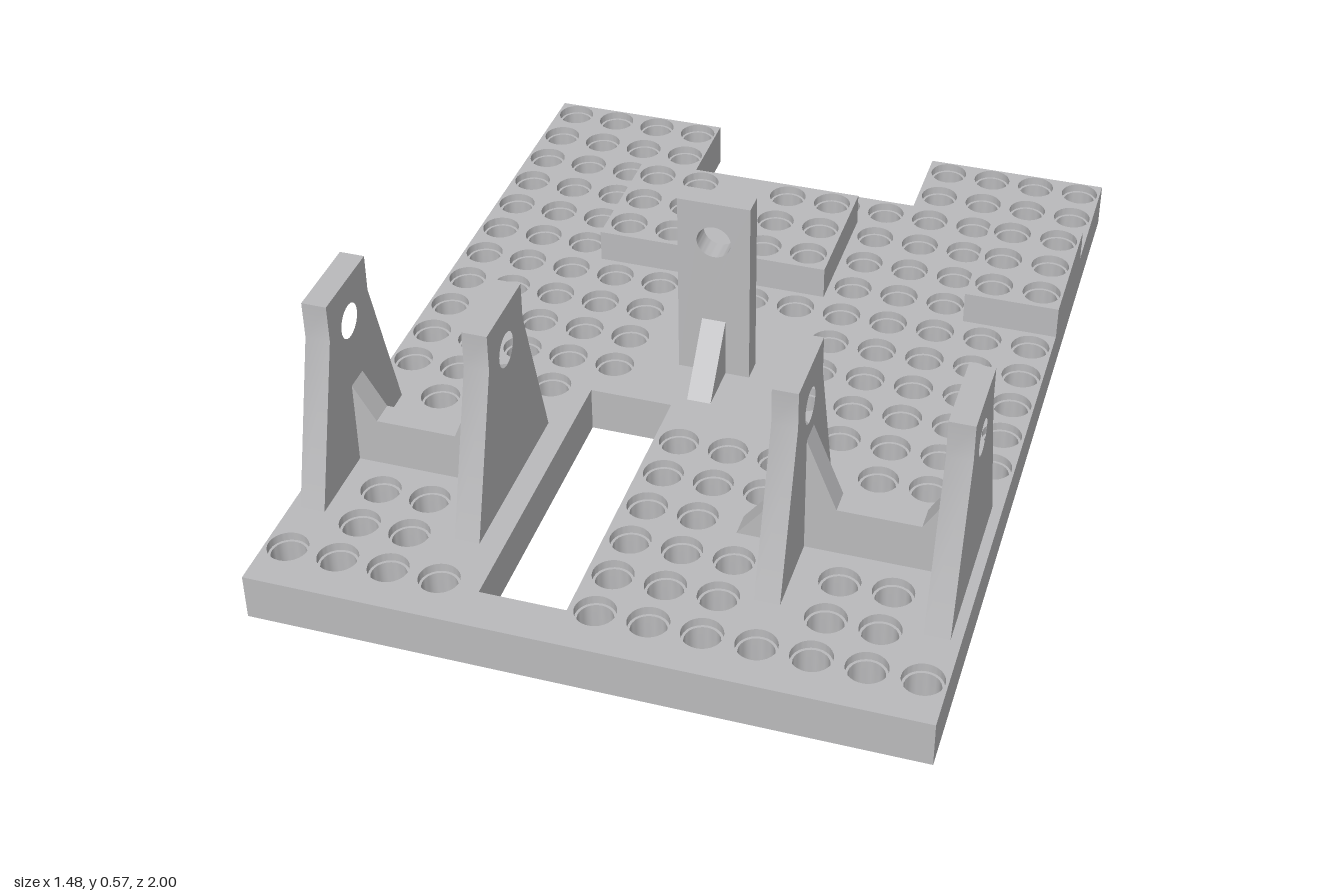
import * as THREE from 'three';
import { mergeGeometries, toCreasedNormals } from 'three/addons/utils/BufferGeometryUtils.js';

const PLATE = 0.11, PAD = 0.19, TOP = 0.575;
const PITCH = 0.1148, R_OUT = 0.045, R_IN = 0.039, STEP = 0.02, SEG = 24;

const shapeOf = (pts) => new THREE.Shape(pts.map(([x, y]) => new THREE.Vector2(x, y)));
const circle = (x, y, r) => new THREE.Path().absarc(x, y, r, 0, Math.PI * 2, true);
const rect = (x0, x1, z0, z1) => [[x0, -z1], [x1, -z1], [x1, -z0], [x0, -z0]];

function extrude(shape, depth) {
  const g = new THREE.ExtrudeGeometry(shape, { depth, bevelEnabled: false, curveSegments: SEG });
  return toCreasedNormals(g, 0.6);
}
// Outline in x and -z, extruded upward from y0
const slab = (shape, h, y0) => extrude(shape, h).rotateX(-Math.PI / 2).translate(0, y0, 0);
// Outline in x and y, extruded from z0 to z1
const frontPlate = (shape, z0, z1) => extrude(shape, z1 - z0).translate(0, 0, z0);
// Outline in z and y, thickness centred on x
const sidePlate = (shape, x, t) => extrude(shape, t).translate(0, 0, -t / 2).rotateY(-Math.PI / 2).translate(x, 0, 0);

// Hole grid: columns present in each row, from back to front
const span = (a, b) => Array.from({ length: b - a + 1 }, (_, i) => a + i);
const full = span(-6, 6);
const ends = [...span(-6, -3), ...span(3, 6)];
const padRow = full.filter((c) => c !== -1);
const middle = [...span(-6, -2), ...span(2, 6)];
const between = [-5, -4, 0, 1, 2, 4, 5];
const ROWS = [
  ends, ends, full, padRow, padRow, padRow, full, middle, middle, middle,
  [...span(-6, -3), ...span(2, 6)], between, between, [0, 1], between, between,
  [...span(-6, -3), ...span(0, 6)],
];

export function createModel() {
  const model = new THREE.Group();
  const grey = new THREE.MeshStandardMaterial({ color: 0xbababc });
  grey.name = 'grey';
  const add = (name, geometry, parent = model) => {
    const mesh = new THREE.Mesh(geometry, grey);
    mesh.name = name;
    parent.add(mesh);
  };

  // Base plate with a notch at the back and a long slot
  const plate = shapeOf([[-0.74, -1], [0.74, -1], [0.74, 1], [0.29, 1], [0.29, 0.775],
    [-0.295, 0.775], [-0.295, 1], [-0.74, 1]]);
  plate.holes.push(new THREE.Path(rect(-0.25, -0.057, 0.19, 0.9).reverse().map(([x, y]) => new THREE.Vector2(x, y))));

  // Raised pads at the back
  const pads = [
    { name: 'widePad', cols: [-3, -2, 0, 1], shape: shapeOf(rect(-0.4, 0.17, -0.66, -0.32)) },
    { name: 'narrowPad', cols: [5, 6], shape: shapeOf(rect(0.515, 0.74, -0.66, -0.32)) },
  ];

  // Through holes with a narrower bore between stepped mouths
  const bore = (h) => toCreasedNormals(new THREE.LatheGeometry([
    [R_OUT, h - STEP], [R_IN, h - STEP], [R_IN, STEP], [R_OUT, STEP],
  ].map(([x, y]) => new THREE.Vector2(x, y)), SEG), 0.6);
  const shortBore = bore(PLATE), longBore = bore(PAD);
  const bores = [];
  ROWS.forEach((cols, row) => cols.forEach((c) => {
    const x = c * PITCH, z = -0.952 + row * PITCH;
    plate.holes.push(circle(x, -z, R_OUT));
    const pad = row >= 3 && row <= 5 && pads.find((p) => p.cols.includes(c));
    if (pad) pad.shape.holes.push(circle(x, -z, R_OUT));
    bores.push((pad ? longBore : shortBore).clone().translate(x, 0, z));
  }));
  add('basePlate', slab(plate, PLATE, 0));
  pads.forEach((p) => add(p.name, slab(p.shape, PAD - PLATE, PLATE)));
  add('holeBores', mergeGeometries(bores));

  // Two pairs of tapered bracket plates with pivot holes
  const bracket = shapeOf([[0.76, PLATE], [0.645, 0.487], [0.645, TOP], [0.448, TOP], [0.448, 0.487], [0.332, PLATE]].reverse());
  bracket.holes.push(circle(0.548, 0.473, 0.04));
  for (const side of [-1, 1]) {
    const pair = new THREE.Group();
    pair.name = side < 0 ? 'rightBracket' : 'leftBracket';
    for (const x of [0.331, 0.689]) add('bracketPlate', sidePlate(bracket, side * x, 0.056), pair);
    // Web joining the pair
    const pts = [[0.358, PLATE], [0.662, PLATE], [0.662, 0.315], [0.61, 0.227], [0.427, 0.227], [0.358, 0.4]];
    const web = side > 0 ? pts : pts.map(([x, y]) => [-x, y]).reverse();
    add('bracketWeb', frontPlate(shapeOf(web), 0.513, 0.57), pair);
    if (side > 0) add('bracketGusset', frontPlate(shapeOf([[0.21, PLATE], [0.304, PLATE], [0.304, 0.232]]), 0.513, 0.57), pair);
    model.add(pair);
  }

  // Centre post with a pivot hole and two gussets
  const post = shapeOf([[-0.085, PLATE], [0.085, PLATE], [0.085, TOP], [-0.085, TOP]]);
  post.holes.push(circle(0, 0.473, 0.04));
  add('centrePost', frontPlate(post, -0.014, 0.04));
  add('frontGusset', sidePlate(shapeOf([[0.04, PLATE], [0.16, PLATE], [0.04, 0.257]]), 0, 0.056));
  add('backGusset', sidePlate(shapeOf([[-0.013, PLATE], [-0.013, 0.295], [-0.13, PLATE]]), 0, 0.056));

  return model;
}
